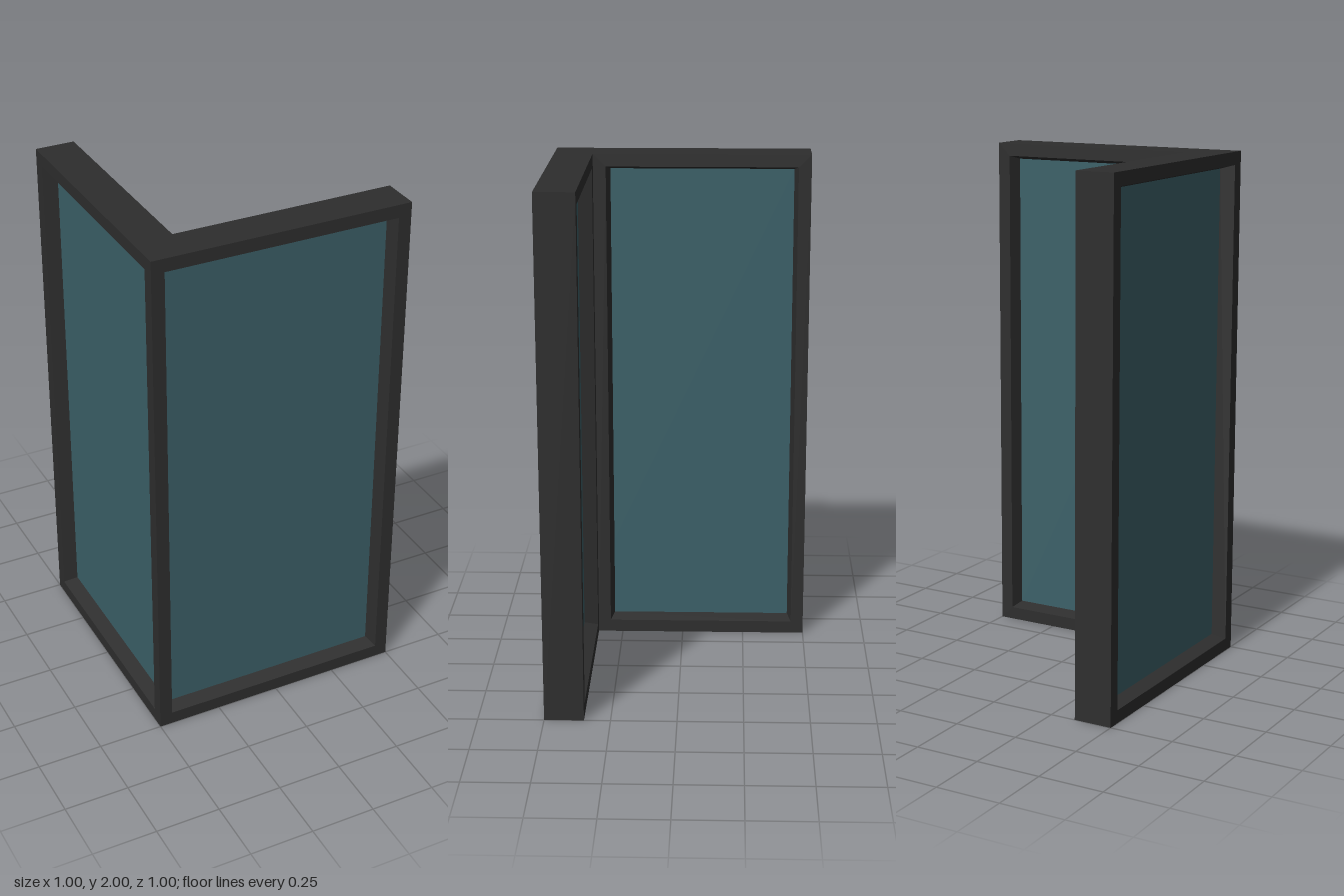
import * as THREE from 'three';

const frameMat = new THREE.MeshStandardMaterial({ color: 0x2e2e2e });
frameMat.name = 'charcoal frame';
const glassMat = new THREE.MeshStandardMaterial({ color: 0x3c6169 });
glassMat.name = 'teal glass';

const H = 2, HALF = 0.5, DEPTH = 0.15;
const INNER = HALF - DEPTH;   // inner face of a wing
const BORDER = 0.05;          // flat border of the frame
const BEAD = 0.065;           // border including the sloped reveal
const GLASS_Z = 0.425, GLASS_T = 0.04;

function add(group, name, geometry, material) {
  const mesh = new THREE.Mesh(geometry, material);
  mesh.name = name;
  group.add(mesh);
  return mesh;
}

// Flat border and sloped reveal around an opening; dir is +1 for +z, -1 for -z
function frameFace(x0, x1, zFace, zGlass, dir) {
  const ring = (inset, z) => [
    [x0 + inset, inset, z], [x1 - inset, inset, z],
    [x1 - inset, H - inset, z], [x0 + inset, H - inset, z],
  ];
  const rings = [ring(0, zFace), ring(BORDER, zFace), ring(BEAD, zGlass)];
  const pos = [];
  for (let r = 0; r < 2; r++) {
    for (let i = 0; i < 4; i++) {
      const j = (i + 1) % 4;
      const [a, b, c, d] = [rings[r][i], rings[r][j], rings[r + 1][j], rings[r + 1][i]];
      const tris = dir > 0 ? [a, b, c, a, c, d] : [a, c, b, a, d, c];
      tris.forEach((p) => pos.push(...p));
    }
  }
  const g = new THREE.BufferGeometry();
  g.setAttribute('position', new THREE.Float32BufferAttribute(pos, 3));
  g.computeVertexNormals();
  return g;
}

// One wing facing +z; free is the sign of x at its free end
function wing(name, free) {
  const group = new THREE.Group();
  group.name = name;
  const x0 = free > 0 ? -INNER : -HALF;
  const x1 = free > 0 ? HALF : INNER;
  add(group, 'outerFrame', frameFace(-HALF, HALF, HALF, GLASS_Z + GLASS_T / 2, 1), frameMat);
  add(group, 'innerFrame', frameFace(x0, x1, INNER, GLASS_Z - GLASS_T / 2, -1), frameMat);

  const end = add(group, 'endFace', new THREE.PlaneGeometry(DEPTH, H), frameMat);
  end.rotation.y = free * Math.PI / 2;
  end.position.set(free * HALF, H / 2, HALF - DEPTH / 2);

  const pane = new THREE.BoxGeometry(2 * (HALF - BEAD), H - 2 * BEAD, GLASS_T);
  add(group, 'glassPane', pane, glassMat).position.set(0, H / 2, GLASS_Z);
  return group;
}

// L-shaped cap; s is +1 for the top, -1 for the bottom
function cap(s) {
  const outline = [
    [-HALF, -HALF], [-INNER, -HALF], [-INNER, INNER],
    [HALF, INNER], [HALF, HALF], [-HALF, HALF],
  ].map(([x, z]) => new THREE.Vector2(x, -s * z));
  return new THREE.ShapeGeometry(new THREE.Shape(outline)).rotateX(-s * Math.PI / 2);
}

export function createModel() {
  const model = new THREE.Group();
  model.name = 'cornerWindow';

  // Two wings meeting in the corner at -x, +z
  model.add(wing('frontWing', 1));
  const side = wing('sideWing', -1);
  side.rotation.y = -Math.PI / 2;
  model.add(side);

  // Head and sill surfaces
  add(model, 'topCap', cap(1), frameMat).position.y = H;
  add(model, 'bottomCap', cap(-1), frameMat);
  return model;
}
